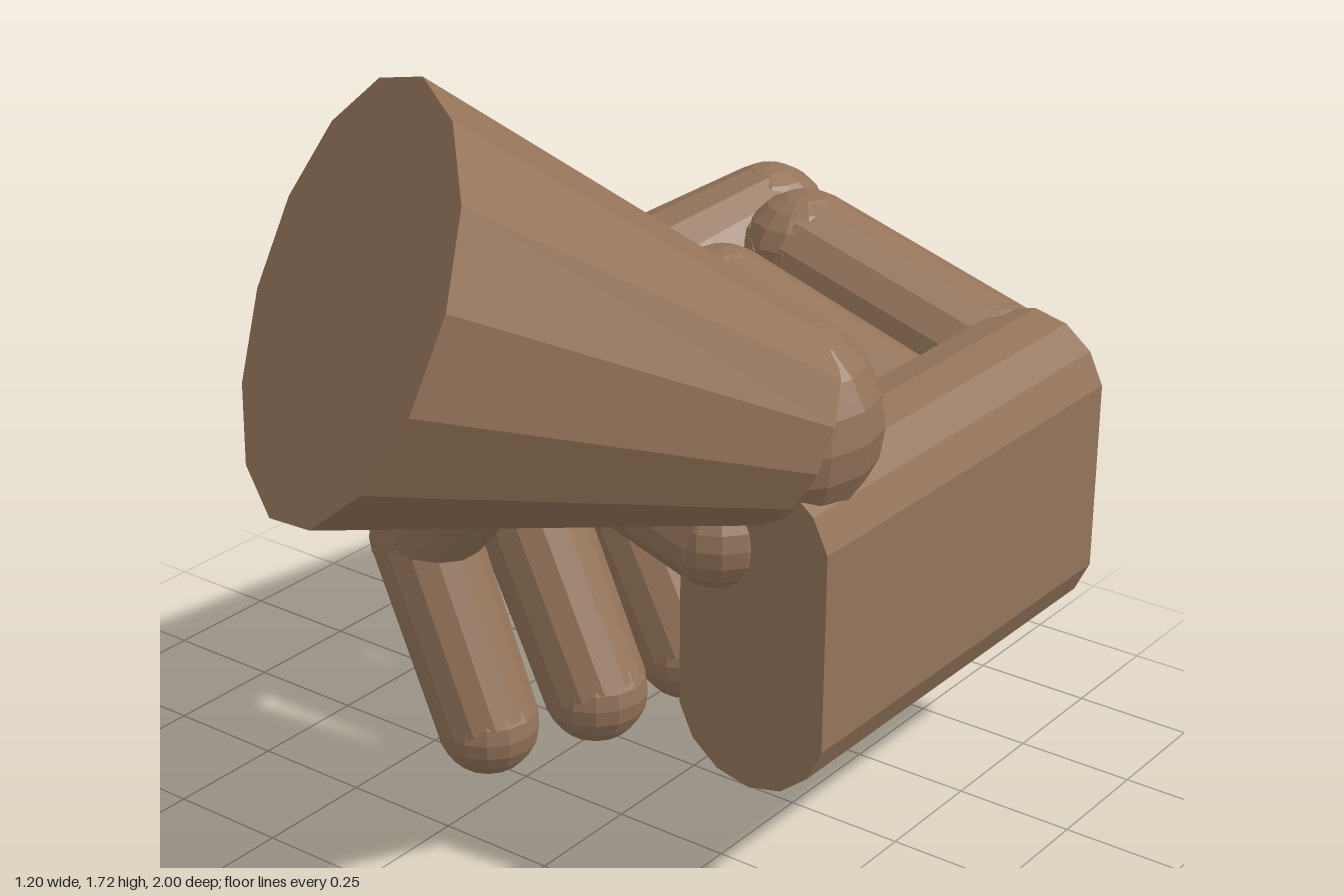
import * as THREE from 'three';

const SIDES = 14;
const skin = new THREE.MeshStandardMaterial({ color: 0x94745a, flatShading: true });
skin.name = 'brown skin';

const v = (x, y, z) => new THREE.Vector3(x, y, z);

function ball(name, p, r) {
  const m = new THREE.Mesh(new THREE.SphereGeometry(r, SIDES, 10), skin);
  m.position.copy(p);
  m.name = name;
  return m;
}

// Tapered cylinder from a (radius ra) to b (radius rb)
function bone(name, a, b, ra, rb) {
  const dir = b.clone().sub(a);
  const m = new THREE.Mesh(new THREE.CylinderGeometry(rb, ra, dir.length(), SIDES), skin);
  m.position.copy(a).add(b).multiplyScalar(0.5);
  m.quaternion.setFromUnitVectors(v(0, 1, 0), dir.normalize());
  m.name = name;
  return m;
}

// Chain of bones with a ball at every joint
function digit(name, points, radii) {
  const g = new THREE.Group();
  g.name = name;
  points.forEach((p, i) => {
    g.add(ball('joint', p, radii[i]));
    if (i) g.add(bone('segment', points[i - 1], p, radii[i - 1], radii[i]));
  });
  return g;
}

export function createModel() {
  const hand = new THREE.Group();
  hand.name = 'hand';

  // Palm: slab with rounded top and bottom edges
  const profile = [];
  for (let i = 0; i < SIDES; i++) {
    const a = ((i + 0.5) / SIDES) * Math.PI * 2;
    const cy = i < SIDES / 2 ? 0.793 : 0.467;
    profile.push(new THREE.Vector2(0.43 + 0.166 * Math.cos(a), cy + 0.166 * Math.sin(a)));
  }
  const palm = new THREE.Mesh(
    new THREE.ExtrudeGeometry(new THREE.Shape(profile), { depth: 0.99, bevelEnabled: false }), skin);
  palm.position.z = -0.82;
  palm.name = 'palm';
  hand.add(palm);

  // Four curled fingers, sharing the same inner bend line
  const fingers = [
    { name: 'littleFinger', z: 0.13, r: 0.11, tip: [-0.24, 0.195] },
    { name: 'ringFinger', z: -0.178, r: 0.117, tip: [-0.205, 0.152] },
    { name: 'middleFinger', z: -0.483, r: 0.125, tip: [-0.188, 0.135] },
    { name: 'indexFinger', z: -0.788, r: 0.14, tip: [-0.183, 0.139] },
  ];
  for (const { name, z, r, tip } of fingers) {
    hand.add(digit(name, [
      v(0.29 + 0.33 * r, 0.685 + 0.97 * r, z - (z < -0.7 ? 0.012 : 0)),
      v(-0.07 - 0.32 * r, 0.80 + 1.16 * r, z),
      v(-0.28 - 1.1 * r, 0.555 + 0.2 * r, z),
      v(tip[0], tip[1], z),
    ], [r, r, r, r * 0.955]));
  }

  // Thumb reaching back across the fingers
  hand.add(digit('thumb',
    [v(-0.335, 1.03, 0.183), v(-0.425, 0.825, -0.39), v(-0.265, 0.98, -0.87)],
    [0.19, 0.175, 0.13]));

  // Wrist and flared forearm
  const wrist = v(0.4, 1.01, 0.06);
  hand.add(ball('wrist', wrist, 0.2));
  hand.add(bone('forearm', wrist, v(0, 1.36, 0.76), 0.2, 0.396));

  return hand;
}
